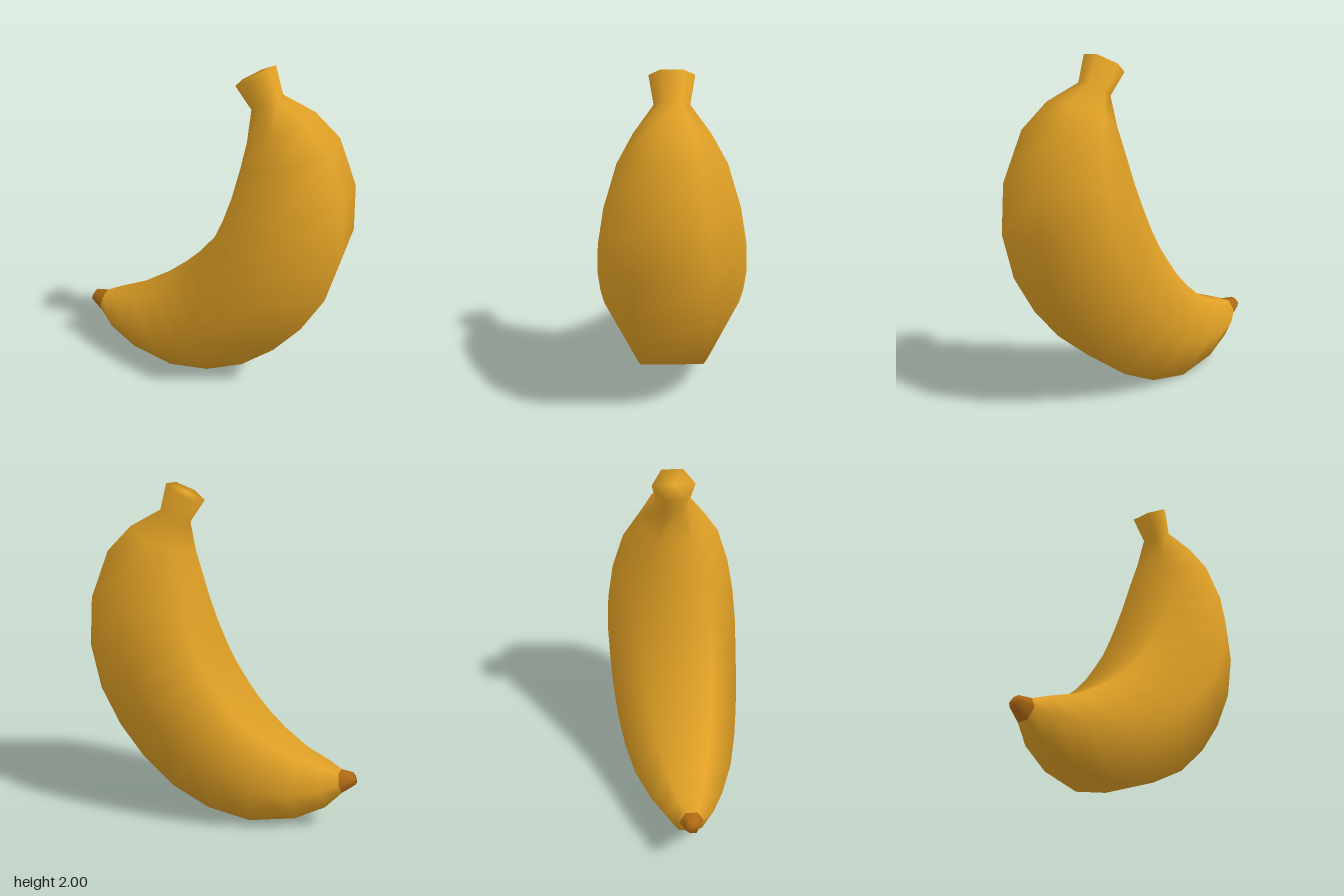
import * as THREE from 'three';

const SIDES = 6;

// Cross-sections from stem to tip: outer x, y and inner x, y
const RINGS = [
  [0.355, 2.0, 0.165, 1.9],
  [0.405, 1.845, 0.255, 1.77],
  [0.58, 1.745, 0.25, 1.6],
  [0.72, 1.595, 0.23, 1.465],
  [0.825, 1.305, 0.19, 1.28],
  [0.835, 1.01, 0.145, 1.14],
  [0.765, 0.74, 0.09, 1.01],
  [0.635, 0.51, 0.03, 0.9],
  [0.475, 0.32, -0.045, 0.795],
  [0.275, 0.155, -0.13, 0.69],
  [0.04, 0.045, -0.225, 0.6],
  [-0.225, 0.0, -0.34, 0.515],
  [-0.5, 0.05, -0.5, 0.43],
  [-0.675, 0.14, -0.65, 0.385],
  [-0.765, 0.235, -0.74, 0.355],
  [-0.84, 0.295, -0.815, 0.355],
];
const LAST = RINGS.length - 1;

// Hexagonal rings with a flat side on the inner and outer curve, plus two cap centres
function ringPositions() {
  const pos = [];
  for (const [ox, oy, ix, iy] of RINGS) {
    const cx = (ox + ix) / 2, cy = (oy + iy) / 2;
    const apothem = Math.hypot(ox - ix, oy - iy) / 2;
    const scale = 1 / Math.cos(Math.PI / SIDES);
    for (let k = 0; k < SIDES; k++) {
      const a = ((k - 0.5) / SIDES) * Math.PI * 2;
      const u = Math.cos(a) * scale;
      pos.push(cx + (ox - cx) * u, cy + (oy - cy) * u, Math.sin(a) * apothem * scale);
    }
  }
  for (const [ox, oy, ix, iy] of [RINGS[0], RINGS[LAST]]) pos.push((ox + ix) / 2, (oy + iy) / 2, 0);
  return pos;
}

// Quads joining the rings from one index to another
function band(from, to) {
  const index = [];
  for (let i = from; i < to; i++) {
    for (let k = 0; k < SIDES; k++) {
      const n = (k + 1) % SIDES;
      const a = i * SIDES + k, b = i * SIDES + n;
      index.push(a, b, b + SIDES, a, b + SIDES, a + SIDES);
    }
  }
  return index;
}

function cap(ring, centre, flip) {
  const index = [];
  for (let k = 0; k < SIDES; k++) {
    const a = ring * SIDES + k, b = ring * SIDES + (k + 1) % SIDES;
    index.push(centre, flip ? b : a, flip ? a : b);
  }
  return index;
}

export function createModel() {
  const group = new THREE.Group();
  group.name = 'banana';

  const peel = new THREE.MeshStandardMaterial({ color: 0xe0a025 });
  peel.name = 'yellow peel';
  const brown = new THREE.MeshStandardMaterial({ color: 0xb06a12 });
  brown.name = 'brown tip';

  const centre = RINGS.length * SIDES;
  const parts = [
    ['stem', peel, [...cap(0, centre, true), ...band(0, 1)]],
    ['body', peel, band(1, LAST - 1)],
    ['tip', brown, [...band(LAST - 1, LAST), ...cap(LAST, centre + 1, false)]],
  ];

  // Normals are computed over the whole skin so the parts shade as one surface
  const skin = new THREE.BufferGeometry();
  skin.setAttribute('position', new THREE.Float32BufferAttribute(ringPositions(), 3));
  skin.setIndex(parts.flatMap((p) => p[2]));
  skin.computeVertexNormals();

  for (const [name, material, index] of parts) {
    const geometry = skin.clone();
    geometry.setIndex(index);
    const mesh = new THREE.Mesh(geometry, material);
    mesh.name = name;
    group.add(mesh);
  }
  return group;
}
